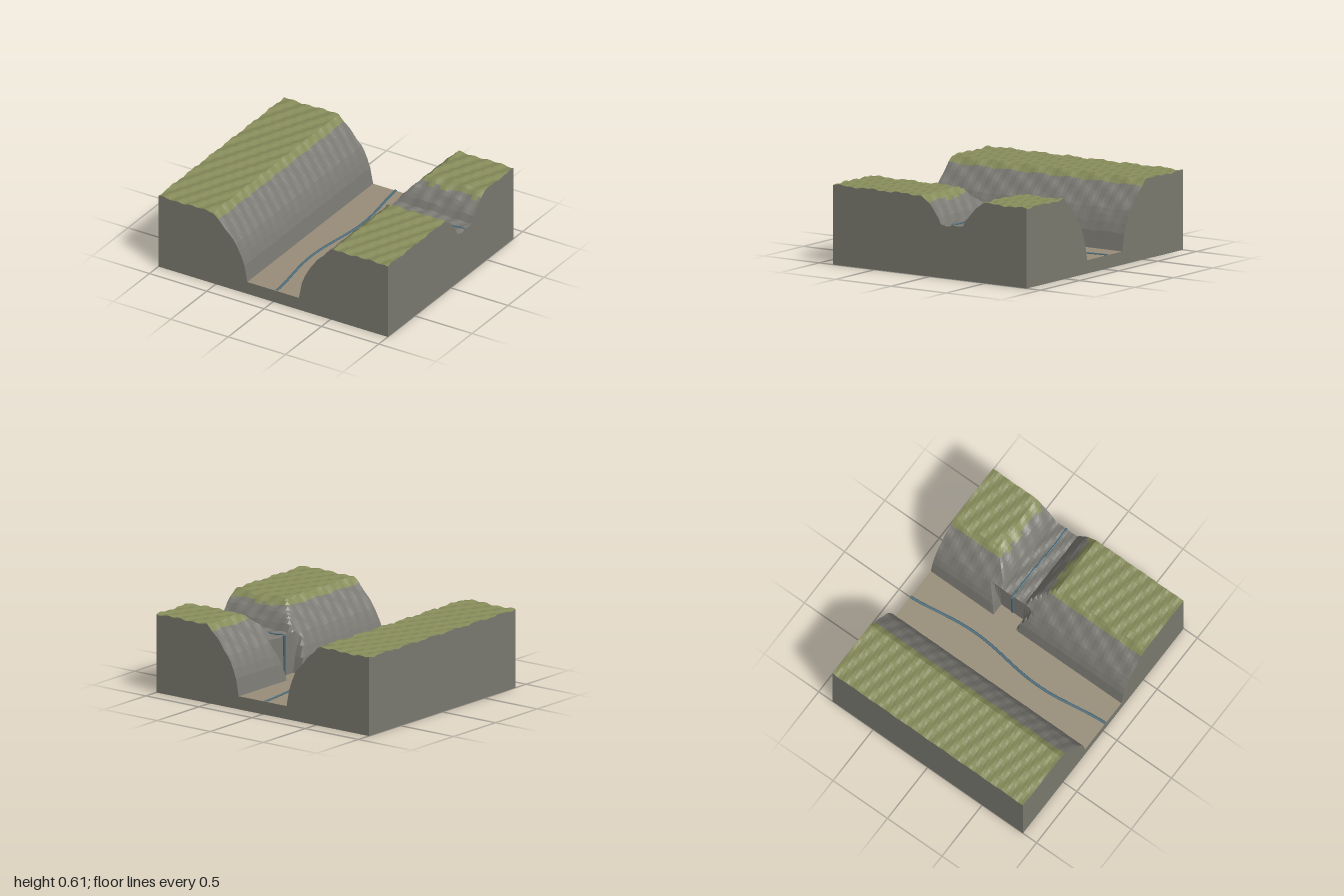
import * as THREE from 'three';

const HX = 1, HZ = 0.875, STEP = 0.025;
const SIDE_Z = -0.2;    // centre line of the hanging side valley
const LIP_X = 0.33;     // cliff where the side valley ends
const FLOOR = 0.1;

// Half profiles of the valleys: [distance from centre line, height]
const mainProfile = [[0, FLOOR], [0.225, FLOOR], [0.25, 0.23], [0.28, 0.31], [0.32, 0.385], [0.41, 0.49], [0.52, 0.6], [2, 0.6]];
const sideProfile = [[0, 0.4], [0.1, 0.4], [0.125, 0.45], [0.18, 0.52], [0.27, 0.6], [3, 0.6]];
const notchProfile = [[0, FLOOR], [0.1, FLOOR], [0.125, 0.22], [0.175, 0.38], [0.18, 0.6], [3, 0.6]];

function lookup(profile, d) {
  for (let i = 1; i < profile.length; i++) {
    const [d0, h0] = profile[i - 1], [d1, h1] = profile[i];
    if (d <= d1) return h0 + (h1 - h0) * (d - d0) / (d1 - d0);
  }
  return profile[profile.length - 1][1];
}

function height(x, z) {
  const dz = Math.abs(z - SIDE_Z);
  let h = lookup(mainProfile, Math.abs(x));
  if (x > LIP_X) h = Math.min(h, lookup(sideProfile, dz));
  else if (x > 0.2) h = Math.min(h, lookup(notchProfile, dz));
  if (h <= FLOOR + 0.001) return FLOOR;
  // gentle ripples, fading out towards the valley floor
  const ripple = 0.005 * Math.sin(x * 52 + z * 23) + 0.004 * Math.sin(z * 61 - x * 17);
  return h + ripple * Math.min(1, (h - FLOOR) / 0.3);
}

function geometryFrom(positions) {
  const g = new THREE.BufferGeometry();
  g.setAttribute('position', new THREE.Float32BufferAttribute(positions, 3));
  g.computeVertexNormals();
  return g;
}

function range(half) {
  const list = [];
  for (let i = 0; i <= Math.round(2 * half / STEP); i++) list.push(-half + i * STEP);
  return list;
}

export function createModel() {
  const group = new THREE.Group();
  const add = (name, geometry, color, options = {}) => {
    const mesh = new THREE.Mesh(geometry, new THREE.MeshStandardMaterial({ color, ...options }));
    mesh.name = name;
    group.add(mesh);
    return mesh;
  };

  // Ground surface, sorted by height into valley floor, rock and grass
  const xs = [...range(HX), LIP_X + 0.008].sort((a, b) => a - b);
  const zs = range(HZ);
  const floor = [], rock = [], grass = [];
  const point = (x, z) => [x, height(x, z), z];
  for (let i = 0; i < xs.length - 1; i++) {
    for (let j = 0; j < zs.length - 1; j++) {
      const a = point(xs[i], zs[j]), b = point(xs[i + 1], zs[j]);
      const c = point(xs[i], zs[j + 1]), d = point(xs[i + 1], zs[j + 1]);
      const ys = [a[1], b[1], c[1], d[1]];
      const mean = (ys[0] + ys[1] + ys[2] + ys[3]) / 4;
      const target = Math.max(...ys) < FLOOR + 0.001 ? floor : mean > 0.55 ? grass : rock;
      target.push(...a, ...c, ...b, ...b, ...c, ...d);
    }
  }
  add('valleyFloor', geometryFrom(floor), 0x978d78);
  add('rockWalls', geometryFrom(rock), 0x7a7973, { flatShading: true });
  add('grassPlateau', geometryFrom(grass), 0x868b5a, { flatShading: true });

  // Cut sides of the block, following the edge of the ground
  const sides = [];
  const wall = (points) => {
    for (let i = 0; i < points.length - 1; i++) {
      const [p, q] = [points[i], points[i + 1]];
      const p0 = [p[0], 0, p[2]], q0 = [q[0], 0, q[2]];
      sides.push(...p0, ...q0, ...q, ...p0, ...q, ...p);
    }
  };
  wall(xs.map((x) => point(x, HZ)));
  wall(xs.map((x) => point(x, -HZ)).reverse());
  wall(zs.map((z) => point(HX, z)).reverse());
  wall(zs.map((z) => point(-HX, z)));
  add('blockSides', geometryFrom(sides), 0x7a7a70);

  // Underside
  const base = add('blockBase', new THREE.PlaneGeometry(2 * HX, 2 * HZ), 0x7a7a70);
  base.rotation.x = Math.PI / 2;

  // Streams: flattened tubes along winding paths
  const WATER = 0x4c6c7a;
  const stream = (name, points, radius, y) => {
    const curve = new THREE.CatmullRomCurve3(points);
    const mesh = add(name, new THREE.TubeGeometry(curve, 80, radius, 8), WATER, { side: THREE.DoubleSide });
    mesh.scale.y = 0.6;
    mesh.position.y = y;
  };
  const riverPath = [], sidePath = [];
  for (let i = 0; i <= 24; i++) {
    const z = -HZ + 2 * HZ * i / 24;
    riverPath.push(new THREE.Vector3(0.03 * Math.cos((z + 0.33) * 5), 0, z));
    const x = LIP_X + 0.005 + (HX - LIP_X - 0.005) * i / 24;
    const y = Math.max(height(x, SIDE_Z), 0.4);
    sidePath.push(new THREE.Vector3(x, (y - 0.4) / 0.6, SIDE_Z - 0.005 * Math.sin((x - LIP_X) * 9)));
  }
  stream('mainRiver', riverPath, 0.011, FLOOR + 0.003);
  stream('sideStream', sidePath, 0.008, 0.404);

  // Waterfall dropping from the lip of the side valley
  const fall = add('waterfall', new THREE.BoxGeometry(0.014, 0.305, 0.018), WATER);
  fall.position.set(0.325, FLOOR + 0.1525, SIDE_Z);

  return group;
}
